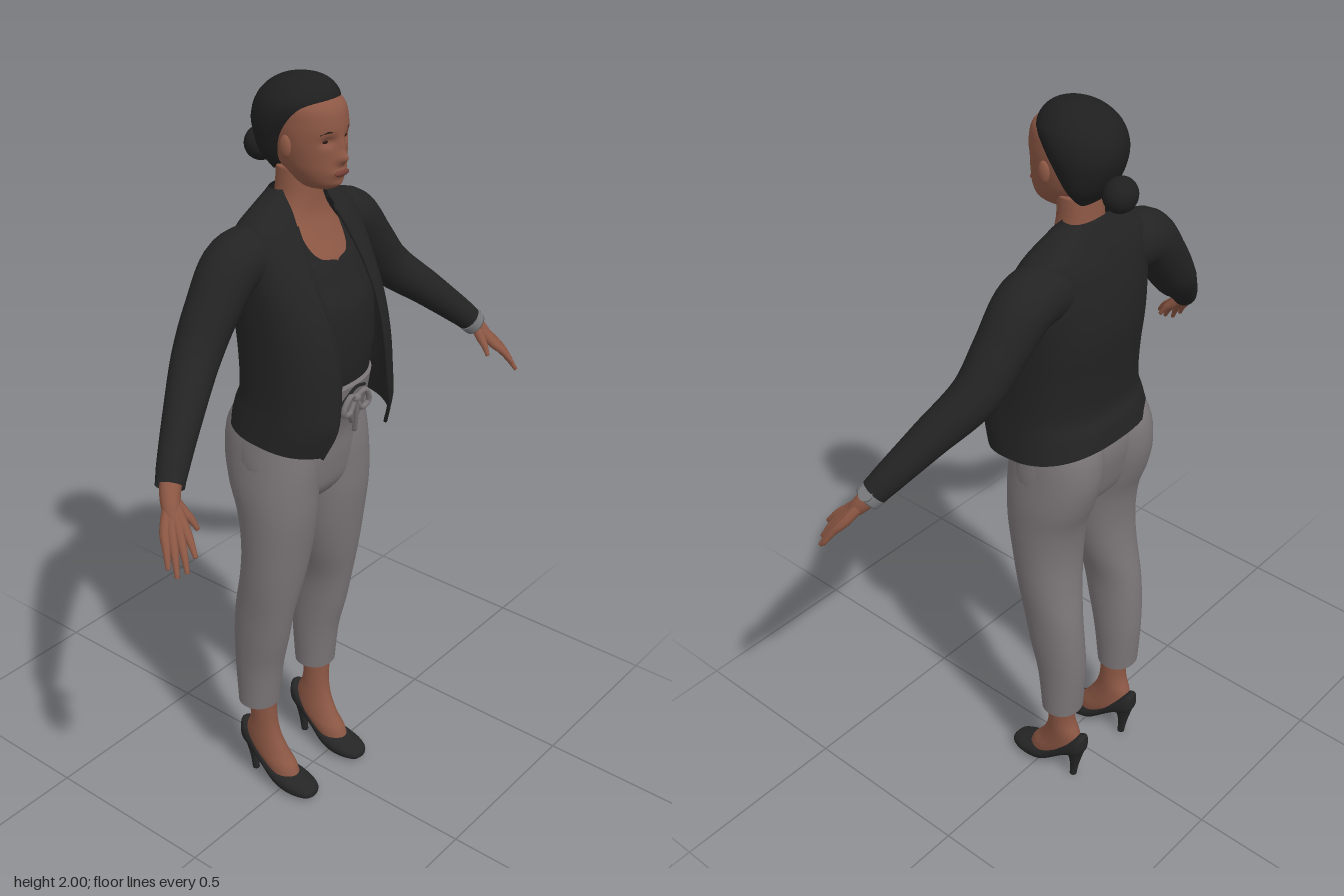
import * as THREE from 'three';
import { mergeVertices } from 'three/addons/utils/BufferGeometryUtils.js';

const mat = (name, color, side = THREE.FrontSide) => {
  const m = new THREE.MeshStandardMaterial({ color, side });
  m.name = name;
  return m;
};

// Smooth surface from fn(i, j): i runs round a ring, j runs along the part
function grid(nu, nv, fn) {
  const pos = [], idx = [], w = nu + 1;
  for (let j = 0; j <= nv; j++) for (let i = 0; i <= nu; i++) pos.push(...fn(i, j));
  for (let j = 0; j < nv; j++) for (let i = 0; i < nu; i++) {
    const a = j * w + i, d = a + w;
    idx.push(a, a + 1, d + 1, a, d + 1, d);
  }
  let g = new THREE.BufferGeometry();
  g.setAttribute('position', new THREE.Float32BufferAttribute(pos, 3));
  g.setIndex(idx);
  g = mergeVertices(g, 1e-5);
  g.computeVertexNormals();
  return g;
}

// Catmull-Rom blend of table rows
function sample(rows, t) {
  const k = t * (rows.length - 1), i = Math.min(Math.floor(k), rows.length - 2), f = k - i;
  const at = n => rows[Math.max(0, Math.min(rows.length - 1, n))];
  return rows[i].map((b, c) => {
    const a = at(i - 1)[c], e = at(i + 1)[c], d = at(i + 2)[c];
    return b + 0.5 * f * (e - a + f * (2 * a - 5 * b + 4 * e - d + f * (3 * (b - e) + d - a)));
  });
}

// Upright loft; rows climb: [y, centreX, halfWidth, zFront, zBack, backLift, frontGap]
function loft(rows, { n = 2, seg = 40, steps = 36, cap = true, s = 1 } = {}) {
  const extra = cap ? 1 : 0;
  return grid(seg, steps + 2 * extra, (i, j) => {
    const t = Math.max(0, Math.min(1, (j - extra) / steps));
    const [y, xc, rx, zf, zb, lift = 0, gap = 0] = sample(rows, t);
    const k = cap && (j === 0 || j === steps + 2) ? 0 : 1;
    const a0 = Math.asin(Math.min(0.97, Math.pow(Math.max(0, gap) / Math.abs(rx), n / 2)));
    const a = a0 + (i % seg === 0 && a0 === 0 ? 0 : i / seg) * (2 * Math.PI - 2 * a0);
    const p = v => Math.sign(v) * Math.pow(Math.abs(v), 2 / n);
    return [s * xc + k * rx * p(Math.sin(a)), y + lift * (1 - Math.cos(a)) / 2,
      (zf + zb) / 2 + k * (zf - zb) / 2 * p(Math.cos(a))];
  });
}

// Round limb along points [x, y, z, radius]
function limb(pts, { s = 1, seg = 14, steps = 16, cap = true } = {}) {
  const curve = new THREE.CatmullRomCurve3(pts.map(p => new THREE.Vector3(s * p[0], p[1], p[2])));
  const fr = curve.computeFrenetFrames(steps), e = cap ? 1 : 0;
  return grid(seg, steps + 2 * e, (i, j) => {
    const q = Math.max(0, Math.min(steps, j - e)), u = q / steps;
    const r = cap && (j === 0 || j === steps + 2) ? 0 : sample(pts, curve.getUtoTmapping(u))[3];
    const a = (i % seg) / seg * 2 * Math.PI;
    return curve.getPointAt(u).addScaledVector(fr.normals[q], r * Math.cos(a))
      .addScaledVector(fr.binormals[q], r * Math.sin(a)).toArray();
  });
}

export function createModel() {
  const root = new THREE.Group();
  root.name = 'standingWoman';
  const skin = mat('skin', 0x8c5744), black = mat('blackCloth', 0x232323, THREE.DoubleSide);
  const grey = mat('greyCloth', 0x7b7577, THREE.DoubleSide), hairM = mat('hair', 0x201f1f);
  const shoeM = mat('shoeLeather', 0x252526), lipM = mat('lips', 0x743f36);
  const eyeM = mat('eyes', 0x2a1a16), metal = mat('watchMetal', 0x77787a);
  const add = (name, geo, m, parent = root) => {
    const mesh = new THREE.Mesh(geo, m);
    mesh.name = name;
    parent.add(mesh);
    return mesh;
  };
  const ball = (name, m, x, y, z, sx, sy, sz) => {
    const b = add(name, new THREE.SphereGeometry(1, 24, 16), m);
    b.position.set(x, y, z);
    b.scale.set(sx, sy, sz);
    return b;
  };

  // Head, with nose, sockets, lips and chin shaped by soft bumps
  const head = loft([[1.745, 0, 0.03, 0.058, -0.03], [1.76, 0, 0.048, 0.076, -0.05],
    [1.79, 0, 0.066, 0.082, -0.08], [1.82, 0, 0.076, 0.082, -0.1], [1.86, 0, 0.084, 0.082, -0.11],
    [1.9, 0, 0.086, 0.083, -0.12], [1.94, 0, 0.08, 0.07, -0.11], [1.97, 0, 0.055, 0.025, -0.09]],
  { seg: 96, steps: 70 });
  const bumps = [[0, 1.822, 0.014, 0.014, 0.019], [0, 1.85, 0.009, 0.02, 0.009], [0.033, 1.863, 0.016, 0.011, -0.01],
    [-0.033, 1.863, 0.016, 0.011, -0.01], [0, 1.787, 0.022, 0.009, 0.008], [0, 1.757, 0.016, 0.01, 0.004]];
  const hp = head.attributes.position;
  for (let i = 0; i < hp.count; i++) {
    if (hp.getZ(i) < 0.02) continue;
    let dz = 0;
    for (const [x, y, w, h, d] of bumps)
      dz += d * Math.exp(-(((hp.getX(i) - x) / w) ** 2) - ((hp.getY(i) - y) / h) ** 2);
    hp.setZ(i, hp.getZ(i) + dz);
  }
  head.computeVertexNormals();
  add('head', head, skin);
  ball('mouth', lipM, 0, 1.787, 0.084, 0.025, 0.008, 0.008);
  for (const s of [1, -1]) {
    ball('eye', eyeM, s * 0.033, 1.863, 0.059, 0.012, 0.006, 0.008);
    ball('ear', skin, s * 0.087, 1.85, -0.012, 0.01, 0.027, 0.016);
    add('eyebrow', limb([[0.015, 1.882, 0.079, 0.002], [0.033, 1.887, 0.0735, 0.003],
      [0.052, 1.881, 0.061, 0.002]], { s, seg: 8 }), eyeM);
  }

  // Hair swept back into a bun
  add('hair', loft([[1.775, 0, 0.045, -0.07, -0.096], [1.79, 0, 0.06, -0.05, -0.108],
    [1.82, 0, 0.082, -0.03, -0.13], [1.86, 0, 0.094, 0, -0.148], [1.9, 0, 0.101, 0.03, -0.155],
    [1.94, 0, 0.096, 0.055, -0.145], [1.97, 0, 0.076, 0.047, -0.12], [1.99, 0, 0.047, 0.022, -0.085],
    [2, 0, 0.01, -0.015, -0.04]]), hairM);
  ball('hairBun', hairM, 0, 1.81, -0.16, 0.044, 0.042, 0.04);

  // Chest and neck
  add('neckAndChest', loft([[1.5, 0, 0.14, 0.095, -0.08], [1.57, 0, 0.135, 0.068, -0.1],
    [1.62, 0, 0.115, 0.038, -0.1], [1.67, 0, 0.085, 0.012, -0.1], [1.72, 0, 0.063, 0.003, -0.095],
    [1.79, 0, 0.06, 0, -0.09]], { n: 2.2 }), skin);

  // Scoop-necked top
  add('scoopTop', loft([[1.18, 0, 0.15, 0.1, -0.11, 0, 0], [1.27, 0, 0.155, 0.12, -0.11, 0, 0],
    [1.36, 0, 0.165, 0.13, -0.12, 0, 0], [1.46, 0, 0.165, 0.125, -0.13, 0, 0], [1.53, 0, 0.16, 0.095, -0.13, 0, 0],
    [1.57, 0, 0.15, 0.075, -0.12, 0, 0], [1.583, 0, 0.147, 0.066, -0.12, 0, 0.045],
    [1.61, 0, 0.14, 0.048, -0.12, 0, 0.066], [1.67, 0, 0.11, 0.014, -0.11, 0, 0.075]],
  { n: 2.2, cap: false, seg: 56, steps: 64 }), black);

  // Open jacket, shorter at the back
  const jacketRows = [[1.108, 0, 0.214, 0.155, -0.176, 0.05, 0.128], [1.18, 0, 0.206, 0.175, -0.166, 0.025, 0.107],
    [1.25, 0, 0.2, 0.173, -0.15, 0, 0.096], [1.35, 0, 0.197, 0.165, -0.155, 0, 0.09],
    [1.45, 0, 0.197, 0.14, -0.165, 0, 0.093], [1.54, 0, 0.199, 0.095, -0.16, 0, 0.094],
    [1.62, 0, 0.198, 0.045, -0.145, 0, 0.084], [1.66, 0, 0.184, 0.018, -0.132, 0, 0.076],
    [1.69, 0, 0.14, 0, -0.12, 0, 0.07], [1.72, 0, 0.088, -0.018, -0.108, 0, 0.066],
    [1.735, 0, 0.07, -0.03, -0.1, 0, 0.06]];
  add('jacketBody', loft(jacketRows, { n: 2.5, cap: false, seg: 64, steps: 50 }), black);
  for (const s of [1, -1]) {
    // Rolled front edge following the opening
    add('jacketEdge', limb(jacketRows.slice(0, 8).map(([y, , rx, zf, zb, , g]) => [g, y,
      (zf + zb) / 2 + (zf - zb) / 2 * Math.pow(1 - Math.pow(g / rx, 2.5), 1 / 2.5) - 0.003, 0.005]),
    { s, seg: 8, steps: 30 }), black);
    // Sleeve
    add('sleeve', limb([[0.13, 1.6, -0.062, 0.074], [0.215, 1.588, -0.065, 0.073], [0.295, 1.505, -0.06, 0.065],
      [0.365, 1.42, -0.047, 0.058], [0.47, 1.328, 0.005, 0.047], [0.565, 1.24, 0.056, 0.037],
      [0.588, 1.216, 0.07, 0.034]], { s, seg: 28, steps: 40, cap: false }), black);

    // Wrist, four fingers that fan out into the palm, and thumb
    const hand = new THREE.Group();
    hand.name = s > 0 ? 'leftHand' : 'rightHand';
    root.add(hand);
    add('wrist', limb([[0.55, 1.25, 0.05, 0.026], [0.59, 1.212, 0.073, 0.025], [0.613, 1.18, 0.095, 0.021],
      [0.63, 1.148, 0.12, 0.013]], { s }), skin, hand);
    const fingers = [[[0.615, 1.15, 0.135], [0.636, 1.1, 0.188]], [[0.63, 1.142, 0.135], [0.661, 1.07, 0.185]],
      [[0.642, 1.14, 0.125], [0.68, 1.062, 0.172]], [[0.652, 1.143, 0.112], [0.687, 1.08, 0.152]],
      [[0.59, 1.168, 0.11], [0.579, 1.128, 0.143]]];
    fingers.forEach(([k, t], i) => add(i < 4 ? 'finger' : 'thumb', limb([[0.598, 1.203, 0.08, 0.014], [...k, 0.0125],
      [...k.map((v, c) => v * 0.5 + t[c] * 0.5 + (c === 1 ? 0.005 : 0)), 0.0095], [...t, 0.0055]], { s, seg: 10 }), skin, hand));
  }

  // Wristwatch on the left arm
  add('watchBand', limb([[0.585, 1.217, 0.07, 0.034], [0.593, 1.208, 0.075, 0.034], [0.602, 1.198, 0.081, 0.033]],
    { seg: 24, steps: 6 }), metal);
  const dial = add('watchDial', new THREE.CylinderGeometry(0.018, 0.018, 0.012, 24), metal);
  dial.position.set(0.615, 1.225, 0.068);
  dial.quaternion.setFromUnitVectors(new THREE.Vector3(0, 1, 0), new THREE.Vector3(0.68, 0.68, -0.2).normalize());

  // Trousers: hips, then a leg, ankle and heeled shoe on each side
  const lower = new THREE.Group();
  lower.name = 'lowerBody';
  lower.position.x = -0.01;
  root.add(lower);
  add('trouserHips', loft([[0.93, 0, 0.12, 0.045, -0.09], [0.97, 0, 0.18, 0.07, -0.13], [1.04, 0, 0.2, 0.082, -0.152],
    [1.12, 0, 0.195, 0.09, -0.162], [1.2, 0, 0.175, 0.117, -0.145], [1.262, 0, 0.165, 0.132, -0.125]], { n: 2.2 }), grey, lower);
  for (const s of [1, -1]) {
    add('trouserLeg', loft([[0.275, 0.122, 0.057, -0.03, -0.14], [0.4, 0.121, 0.06, -0.014, -0.15],
      [0.5, 0.124, 0.063, 0.01, -0.149], [0.6, 0.124, 0.067, 0.03, -0.14], [0.7, 0.115, 0.083, 0.05, -0.122],
      [0.8, 0.108, 0.094, 0.066, -0.115], [0.9, 0.106, 0.1, 0.08, -0.127], [0.98, 0.105, 0.102, 0.084, -0.155],
      [1.06, 0.1, 0.1, 0.084, -0.174], [1.14, 0.095, 0.095, 0.075, -0.17], [1.2, 0.09, 0.08, 0.06, -0.14]],
    { s, cap: false, n: 2.1 }), grey, lower);
    add('ankle', loft([[0.045, 0.108, 0.036, 0.04, -0.06], [0.075, 0.108, 0.038, 0.028, -0.09],
      [0.11, 0.109, 0.037, 0.002, -0.13], [0.16, 0.112, 0.035, -0.024, -0.134], [0.22, 0.115, 0.034, -0.036, -0.115],
      [0.33, 0.12, 0.038, -0.035, -0.122]], { s }), skin, lower);
    // Shoe lofted heel to toe: front and back depths become sole and top heights
    const shoe = loft([[-0.156, 0.11, 0.014, -0.12, -0.166], [-0.14, 0.11, 0.03, -0.096, -0.17],
      [-0.1, 0.11, 0.037, -0.078, -0.135], [-0.06, 0.11, 0.039, -0.045, -0.092], [-0.02, 0.109, 0.044, -0.012, -0.066],
      [0.02, 0.108, 0.047, 0, -0.056], [0.06, 0.108, 0.043, 0, -0.046], [0.09, 0.108, 0.03, -0.003, -0.036],
      [0.101, 0.108, 0.014, -0.01, -0.024]], { s, n: 2.3 });
    add('shoe', shoe.rotateX(Math.PI / 2), shoeM, lower);
    add('shoeHeel', loft([[0, 0.11, 0.01, -0.104, -0.124], [0.05, 0.11, 0.012, -0.104, -0.134],
      [0.115, 0.11, 0.027, -0.09, -0.152]], { s, seg: 20, steps: 12 }), shoeM, lower);

    // Drawstring loops and tails
    add('bowLoop', limb([[0, 1.228, 0.134, 0.006], [0.03, 1.24, 0.14, 0.007], [0.05, 1.2, 0.135, 0.008],
      [0.025, 1.19, 0.134, 0.007], [0, 1.226, 0.134, 0.006]], { s, seg: 8, steps: 24 }), grey);
    add('drawstring', limb([[0.004, 1.228, 0.136, 0.005], [0.012, 1.18, 0.128, 0.006],
      [s > 0 ? 0.025 : -0.012, s > 0 ? 1.12 : 1.15, 0.112, 0.007]], { s, seg: 8 }), grey);
  }
  ball('bowKnot', grey, 0, 1.228, 0.137, 0.013, 0.011, 0.01);
  add('waistCord', limb([[-0.1, 1.185, 0.105, 0.004], [-0.05, 1.222, 0.128, 0.004], [0, 1.255, 0.134, 0.004],
    [0.04, 1.248, 0.13, 0.004]], { seg: 8 }), black);
  return root;
}
